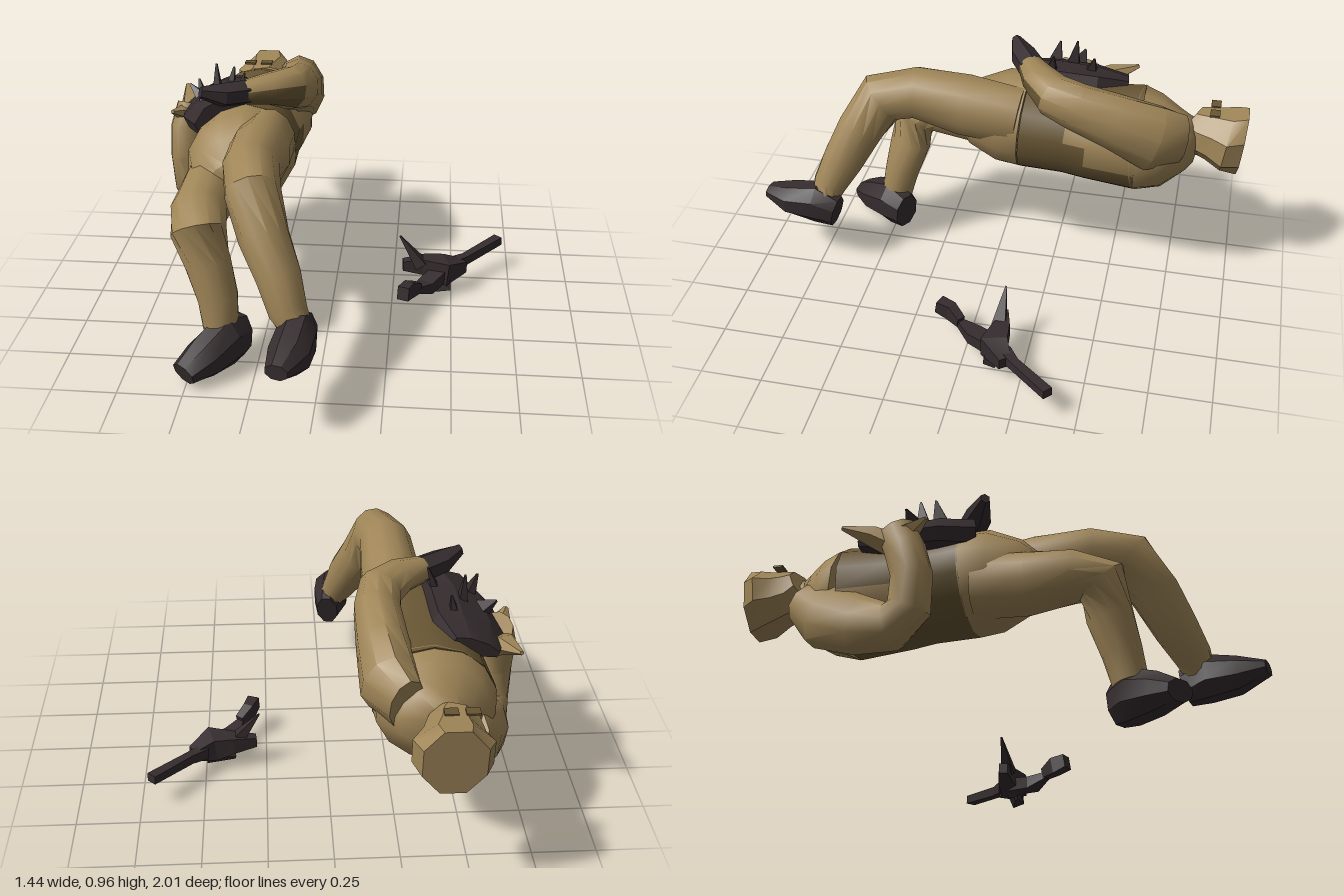
import * as THREE from 'three';
import { toCreasedNormals } from 'three/addons/utils/BufferGeometryUtils.js';

const paint = (name, color) => {
  const m = new THREE.MeshStandardMaterial({ color });
  m.name = name;
  return m;
};

// Closed skin over elliptical rings [x, y, z, radiusSide, radiusUp] along a path.
// An optional rule (column, row) => material index colours single cells.
function loft(rings, sides = 10, up = [0, 1, 0], crease = 0.75, cellMaterial = null) {
  const ref = new THREE.Vector3(...up);
  const centres = rings.map(([x, y, z]) => new THREE.Vector3(x, y, z));
  const pos = [], idx = [], groups = [];
  rings.forEach((ring, i) => {
    const t = centres[Math.min(i + 1, rings.length - 1)].clone().sub(centres[Math.max(i - 1, 0)]).normalize();
    const side = ref.clone().cross(t).normalize();
    const top = t.clone().cross(side);
    for (let j = 0; j < sides; j++) {
      const a = ((j + 0.5) / sides) * Math.PI * 2;
      const p = centres[i].clone()
        .addScaledVector(side, Math.cos(a) * ring[3])
        .addScaledVector(top, Math.sin(a) * ring[4]);
      pos.push(p.x, p.y, p.z);
    }
  });
  const last = rings.length - 1, c0 = rings.length * sides;
  pos.push(...centres[0].toArray(), ...centres[last].toArray());
  for (let j = 0; j < sides; j++) {
    const k = (j + 1) % sides;
    for (let i = 0; i < last; i++) {
      const a = i * sides + j, b = i * sides + k;
      if (cellMaterial) groups.push([idx.length, 6, cellMaterial(j, i)]);
      idx.push(a, b, a + sides, b, b + sides, a + sides);
    }
    if (cellMaterial) groups.push([idx.length, 6, 0]);
    idx.push(c0, k, j, c0 + 1, last * sides + j, last * sides + k);
  }
  const g = new THREE.BufferGeometry();
  g.setAttribute('position', new THREE.Float32BufferAttribute(pos, 3));
  g.setIndex(idx);
  const skin = toCreasedNormals(g, crease);
  groups.forEach((group) => skin.addGroup(...group));
  return skin;
}

export function createModel() {
  const model = new THREE.Group();
  model.name = 'fallenFigure';
  const tan = paint('tan cloth', 0xa08658);
  const brown = paint('dark cloth', 0x675533);
  const black = paint('dark leather and metal', 0x352c2e);

  const add = (name, mat, geometry, parent = model) => {
    const m = new THREE.Mesh(geometry, mat);
    m.name = name;
    parent.add(m);
    return m;
  };

  // Torso, rolled so its left side is higher
  const roll = [-0.42, 0.9, 0];
  const chest = [-0.37, 0.605, -0.58, 0.235, 0.222];
  const waist = [-0.375, 0.63, -0.1, 0.222, 0.205];
  add('chest', tan, loft([
    [-0.38, 0.62, -0.79, 0.08, 0.1], [-0.37, 0.62, -0.755, 0.16, 0.13],
    [-0.36, 0.61, -0.67, 0.22, 0.195], chest], 14, roll));
  add('pelvis', tan, loft([waist, [-0.38, 0.635, 0, 0.22, 0.2],
    [-0.38, 0.64, 0.12, 0.19, 0.145], [-0.38, 0.65, 0.2, 0.1, 0.06]], 14, roll));

  // Dark midriff; the columns under the arms stay tan for some rows
  const tanRows = { 0: 2, 13: 2, 12: 1, 6: 1, 7: 1 };
  add('midriff', [brown, tan], loft([chest, [-0.37, 0.61, -0.37, 0.22, 0.205],
    [-0.37, 0.62, -0.28, 0.212, 0.2], waist], 14, roll, 0.75,
    (column, row) => (row < (tanRows[column] ?? 0) ? 1 : 0)));

  // Neck and head, face upward, with a flat crown
  const head = new THREE.Group();
  head.name = 'head';
  model.add(head);
  add('neck', tan, loft([[-0.39, 0.64, -0.84, 0.07, 0.08], [-0.375, 0.62, -0.7, 0.09, 0.1]], 8), head);
  add('skull', tan, loft([
    [-0.39, 0.63, -1, 0.12, 0.148], [-0.39, 0.635, -0.94, 0.152, 0.135],
    [-0.4, 0.645, -0.88, 0.115, 0.116], [-0.41, 0.655, -0.82, 0.1, 0.105],
    [-0.425, 0.675, -0.78, 0.082, 0.08]], 8, [0, 1, 0], 0.5), head);
  for (const x of [-0.46, -0.385]) {
    const eye = add('eye', brown, new THREE.BoxGeometry(0.05, 0.008, 0.04), head);
    eye.position.set(x, 0.752, -0.875);
  }

  // Legs
  add('leftLeg', tan, loft([
    [-0.27, 0.7, -0.08, 0.11, 0.13], [-0.275, 0.73, 0.15, 0.122, 0.135],
    [-0.275, 0.762, 0.36, 0.11, 0.11], [-0.25, 0.735, 0.5, 0.105, 0.115],
    [-0.2, 0.6, 0.59, 0.095, 0.1], [-0.14, 0.475, 0.655, 0.085, 0.09],
    [-0.1, 0.365, 0.712, 0.075, 0.07], [-0.07, 0.31, 0.73, 0.06, 0.06]], 12));
  add('rightLeg', tan, loft([
    [-0.47, 0.57, -0.05, 0.12, 0.13], [-0.485, 0.55, 0.15, 0.115, 0.125],
    [-0.49, 0.555, 0.32, 0.112, 0.102], [-0.475, 0.525, 0.42, 0.108, 0.105],
    [-0.44, 0.4, 0.44, 0.095, 0.082], [-0.4, 0.27, 0.475, 0.08, 0.075],
    [-0.39, 0.15, 0.5, 0.068, 0.068]], 12));

  // Boots
  add('leftBoot', black, loft([
    [-0.045, 0.26, 0.67, 0.05, 0.08], [-0.065, 0.285, 0.76, 0.08, 0.1],
    [-0.08, 0.28, 0.88, 0.082, 0.075], [-0.11, 0.285, 0.99, 0.046, 0.03]], 8, [0, 1, 0.1], 0.4));
  add('rightBoot', black, loft([
    [-0.32, 0.095, 0.44, 0.06, 0.09], [-0.37, 0.105, 0.51, 0.085, 0.11],
    [-0.44, 0.08, 0.61, 0.085, 0.08], [-0.505, 0.055, 0.685, 0.062, 0.042]], 8, [0, 1, 0], 0.4));

  // Left arm folded over the body; the forearm is dark on its front
  add('leftArm', [tan, brown], loft([
    [-0.25, 0.7, -0.75, 0.07, 0.11], [-0.2, 0.72, -0.64, 0.11, 0.145],
    [-0.185, 0.79, -0.48, 0.098, 0.118], [-0.178, 0.842, -0.33, 0.09, 0.1],
    [-0.2, 0.87, -0.23, 0.088, 0.09], [-0.28, 0.89, -0.16, 0.075, 0.065],
    [-0.37, 0.89, -0.11, 0.055, 0.05]], 10, [0, 1, 0], 0.75,
    (column, row) => (row > 3 && [8, 9].includes(column) ? 1 : 0)));
  add('leftGlove', black, loft([
    [-0.36, 0.89, -0.115, 0.058, 0.052], [-0.45, 0.895, -0.06, 0.055, 0.05],
    [-0.53, 0.92, -0.015, 0.02, 0.025]], 6, [0, 1, 0], 0.3));

  // Right arm hanging low, with the forearm bent upward
  add('rightArm', tan, loft([
    [-0.47, 0.57, -0.74, 0.09, 0.08], [-0.525, 0.475, -0.63, 0.13, 0.095],
    [-0.585, 0.395, -0.47, 0.115, 0.095], [-0.61, 0.365, -0.34, 0.095, 0.088],
    [-0.635, 0.42, -0.27, 0.085, 0.08], [-0.65, 0.55, -0.26, 0.08, 0.07],
    [-0.65, 0.66, -0.29, 0.08, 0.07], [-0.635, 0.75, -0.33, 0.075, 0.06]], 10, [1, 0, 0]));
  for (const [z, tip] of [[-0.42, -0.53], [-0.28, -0.2]])
    add('rightHandFlap', tan, loft([[-0.64, 0.69, -0.34, 0.05, 0.05],
      [-0.65, 0.73, z, 0.04, 0.05], [-0.69, 0.76, tip, 0.008, 0.01]], 5, [1, 0, 0], 0.2));

  // Ragged dark gear on the belly
  const gear = new THREE.Group();
  gear.name = 'bellyGear';
  model.add(gear);
  add('gearPad', black, loft([
    [-0.53, 0.77, -0.5, 0.1, 0.03], [-0.52, 0.775, -0.37, 0.155, 0.06],
    [-0.505, 0.785, -0.2, 0.15, 0.07], [-0.46, 0.79, -0.08, 0.12, 0.075]], 8, roll, 0.3), gear);
  const tips = [[-0.51, 0.95, -0.28], [-0.57, 0.91, -0.2], [-0.45, 0.91, -0.36],
    [-0.38, 0.94, -0.2], [-0.63, 0.85, -0.3]];
  for (const [x, y, z] of tips)
    add('gearSpike', black, loft([[x * 0.6 - 0.2, 0.8, z + 0.02, 0.05, 0.03],
      [x, y, z, 0.005, 0.005]], 4, [1, 0, 0], 0.2), gear);

  // Sidearm lying apart from the figure
  const gun = new THREE.Group();
  gun.name = 'sidearm';
  model.add(gun);
  const metal = (name, rings, up) => add(name, black, loft(rings, 4, up, 0.2), gun);
  metal('barrel', [[0.5, 0.1, -0.18, 0.035, 0.035], [0.56, 0.105, -0.23, 0.025, 0.028],
    [0.705, 0.125, -0.385, 0.03, 0.025]]);
  metal('receiver', [[0.29, 0.115, -0.135, 0.025, 0.03], [0.38, 0.115, -0.145, 0.045, 0.05],
    [0.47, 0.1, -0.13, 0.075, 0.07], [0.55, 0.095, -0.19, 0.035, 0.035]]);
  metal('magazine', [[0.46, 0.09, -0.13, 0.05, 0.05], [0.48, 0.03, -0.12, 0.035, 0.035],
    [0.38, 0.01, -0.1, 0.012, 0.01]], [0, 0.3, 1]);
  metal('grip', [[0.46, 0.09, -0.13, 0.05, 0.04], [0.39, 0.07, -0.03, 0.05, 0.035],
    [0.355, 0.09, 0.035, 0.02, 0.02]]);
  metal('stock', [[0.36, 0.1, 0.03, 0.025, 0.03], [0.32, 0.115, 0.08, 0.03, 0.05],
    [0.3, 0.125, 0.135, 0.035, 0.04]]);
  metal('spike', [[0.37, 0.12, -0.13, 0.035, 0.04], [0.275, 0.25, -0.14, 0.004, 0.004]], [0, 0, 1]);
  return model;
}
